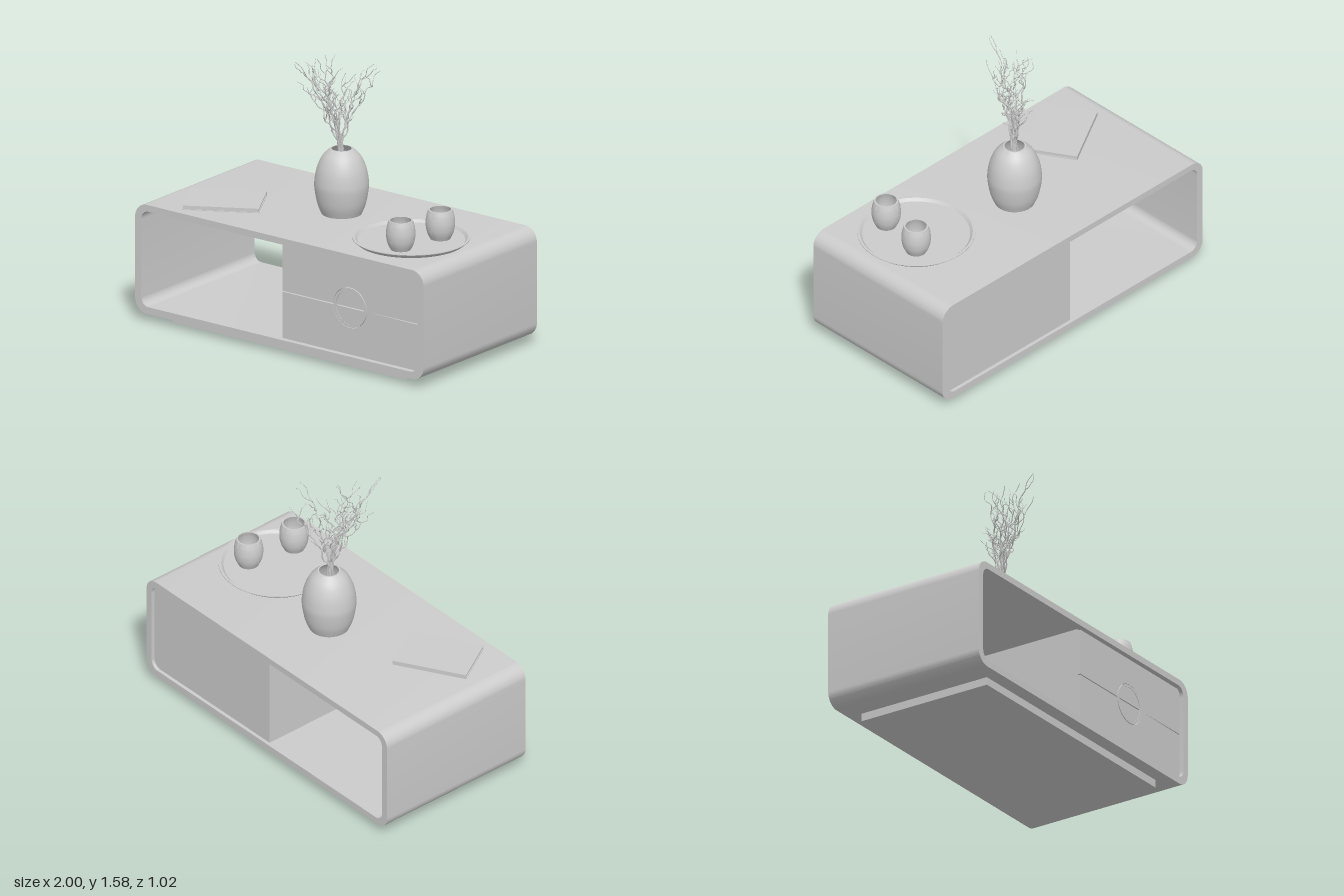
import * as THREE from 'three';
import { toCreasedNormals } from 'three/addons/utils/BufferGeometryUtils.js';

const mat = new THREE.MeshStandardMaterial({ color: 0xcccccc });
const thin = new THREE.MeshStandardMaterial({ color: 0xcccccc, side: THREE.DoubleSide });

function add(parent, name, geo, x = 0, y = 0, z = 0, material = mat) {
  const mesh = new THREE.Mesh(geo, material);
  mesh.name = name;
  mesh.position.set(x, y, z);
  parent.add(mesh);
  return mesh;
}

// Box given by its limits
function slab(parent, name, x0, x1, y0, y1, z0, z1) {
  return add(parent, name, new THREE.BoxGeometry(x1 - x0, y1 - y0, z1 - z0),
    (x0 + x1) / 2, (y0 + y1) / 2, (z0 + z1) / 2);
}

function roundedRect(target, x0, x1, y0, y1, r) {
  target.moveTo(x0 + r, y0);
  target.lineTo(x1 - r, y0);
  target.absarc(x1 - r, y0 + r, r, -Math.PI / 2, 0, false);
  target.lineTo(x1, y1 - r);
  target.absarc(x1 - r, y1 - r, r, 0, Math.PI / 2, false);
  target.lineTo(x0 + r, y1);
  target.absarc(x0 + r, y1 - r, r, Math.PI / 2, Math.PI, false);
  target.lineTo(x0, y0 + r);
  target.absarc(x0 + r, y0 + r, r, Math.PI, Math.PI * 1.5, false);
  return target;
}

function extrude(shape, depth) {
  const geo = new THREE.ExtrudeGeometry(shape, { depth, bevelEnabled: false, curveSegments: 16 });
  return toCreasedNormals(geo, 0.5);
}

function lathe(profile, segments = 48) {
  const pts = profile.map(([r, y]) => new THREE.Vector2(r, y));
  return toCreasedNormals(new THREE.LatheGeometry(pts, segments), 0.6);
}

// Smooth lathe profile: curved outside, rim, then the inside back down
function vessel(outer, wall) {
  const curve = new THREE.SplineCurve(outer.map(([r, y]) => new THREE.Vector2(r, y)));
  const out = curve.getPoints(24).map(p => [p.x, p.y]);
  const inner = out.slice(1).reverse().map(([r, y]) => [r - wall, Math.max(y, wall)]);
  return lathe([[0, 0], ...out, ...inner, [0, wall]]);
}

function buildTable() {
  const table = new THREE.Group();
  table.name = 'table';

  // Rounded hollow shell, open at front and back
  const outline = roundedRect(new THREE.Shape(), -0.992, 0.992, 0.045, 0.665, 0.08);
  outline.holes.push(roundedRect(new THREE.Path(), -0.95, 0.95, 0.085, 0.628, 0.05));
  add(table, 'shell', extrude(outline, 0.99), 0, 0, -0.495);

  slab(table, 'plinth', -0.8, 0.8, 0, 0.046, -0.41, 0.415);
  slab(table, 'cabinetBody', 0, 0.955, 0.083, 0.63, -0.475, 0.455);

  // Two drawer fronts, each cut by half of the round handle
  const cx = 0.47, cy = 0.355, gap = 0.003, r = 0.115;
  for (const s of [1, -1]) {
    const front = new THREE.Shape();
    front.moveTo(0.004, s * gap);
    front.lineTo(cx - r, s * gap);
    front.absarc(cx, 0, r, Math.PI, 0, s > 0);
    front.lineTo(0.945, s * gap);
    front.lineTo(0.945, s * 0.266);
    front.lineTo(0.004, s * 0.266);
    add(table, s > 0 ? 'upperDrawer' : 'lowerDrawer', extrude(front, 0.02), 0, cy, 0.453);

    const halfDisc = new THREE.Shape();
    halfDisc.absarc(cx, s * gap, 0.094, s > 0 ? 0 : Math.PI, s > 0 ? Math.PI : Math.PI * 2, false);
    add(table, 'handleInset', extrude(halfDisc, 0.02), 0, cy, 0.453);
  }
  const ring = new THREE.Shape().absarc(cx, cy, 0.112, 0, Math.PI * 2);
  ring.holes.push(new THREE.Path().absarc(cx, cy, 0.097, 0, Math.PI * 2));
  add(table, 'handleRing', extrude(ring, 0.022), 0, 0, 0.453);

  table.rotation.y = -0.0136;
  return table;
}

function buildBook() {
  const book = new THREE.Group();
  book.name = 'book';
  slab(book, 'backCover', -0.21, 0.21, 0, 0.004, -0.152, 0.152);
  slab(book, 'pages', -0.205, 0.205, 0.004, 0.021, -0.149, 0.147);
  slab(book, 'frontCover', -0.21, 0.21, 0.021, 0.025, -0.152, 0.152);
  slab(book, 'spine', -0.21, 0.21, 0.002, 0.023, -0.152, -0.148);
  book.position.set(-0.607, 0.665, 0.2);
  book.rotation.y = 0.512;
  return book;
}

function buildTraySet() {
  const set = new THREE.Group();
  set.name = 'traySet';
  add(set, 'tray', lathe([[0, 0], [0.295, 0], [0.32, 0.021], [0.32, 0.025],
    [0.306, 0.025], [0.292, 0.01], [0, 0.01]], 64), 0.597, 0.665, 0.11);
  const cup = vessel([[0.055, 0], [0.073, 0.04], [0.08, 0.085], [0.076, 0.13], [0.066, 0.165]], 0.009);
  add(set, 'backCup', cup, 0.71, 0.675, 0);
  add(set, 'frontCup', cup, 0.655, 0.675, 0.28);
  return set;
}

// Tube whose rings shrink towards the tip
function taperedTube(points, r0, r1) {
  const curve = new THREE.CatmullRomCurve3(points);
  const segs = points.length * 3, sides = 5;
  const geo = new THREE.TubeGeometry(curve, segs, r0, sides);
  const pos = geo.attributes.position, v = new THREE.Vector3();
  for (let i = 0; i <= segs; i++) {
    const c = curve.getPointAt(i / segs);
    const k = 1 + (r1 / r0 - 1) * i / segs;
    for (let j = 0; j <= sides; j++) {
      const n = i * (sides + 1) + j;
      v.fromBufferAttribute(pos, n).sub(c).multiplyScalar(k).add(c);
      pos.setXYZ(n, v.x, v.y, v.z);
    }
  }
  return geo;
}

function buildBranches() {
  const branches = new THREE.Group();
  branches.name = 'branches';
  let seed = 7;
  const rnd = () => (seed = (seed * 16807) % 2147483647) / 2147483647;
  const jitter = a => (rnd() - 0.5) * 2 * a;

  // Tips of the main stems
  const tips = [
    [-0.19, 1.5, 0.03], [-0.11, 1.57, 0.22], [-0.05, 1.57, 0.1], [-0.17, 1.42, 0.12],
    [-0.07, 1.46, 0.14], [0.03, 1.48, -0.02], [0.18, 1.54, -0.08], [0.06, 1.38, -0.13],
    [0.13, 1.45, -0.22], [-0.12, 1.53, -0.06], [0.0, 1.5, 0.17], [-0.15, 1.52, 0.07],
  ];
  tips.forEach(([tx, ty, tz], k) => {
    const a = k / tips.length * Math.PI * 2;
    const stem = [new THREE.Vector3(Math.cos(a) * 0.03, 0.8, -0.05 + Math.sin(a) * 0.03)];
    const n = 16;
    for (let i = 0; i <= n; i++) {
      const t = i / n, spread = Math.pow(t, 1.4), w = 0.003 + 0.012 * Math.min(1, t * 2);
      stem.push(new THREE.Vector3(
        Math.cos(a) * 0.014 * (1 - t) + tx * spread + jitter(w),
        1.03 + (ty - 1.03) * t + jitter(w * 0.6),
        -0.045 + Math.sin(a) * 0.014 * (1 - t) + (tz + 0.045) * spread + jitter(w)));
    }
    add(branches, 'stem', taperedTube(stem, 0.0065, 0.0015), 0, 0, 0, thin);

    // Crooked side twigs
    for (let j = 0; j < 5; j++) {
      const p = stem[6 + j * 2].clone();
      const heading = rnd() * Math.PI * 2, reach = 0.008 + rnd() * 0.006;
      const twig = [p.clone()];
      for (let i = 0; i < 6; i++) {
        p.x = THREE.MathUtils.clamp(p.x + Math.cos(heading) * reach + jitter(0.012), -0.2, 0.195);
        p.y = Math.min(1.58, p.y + 0.016 + jitter(0.01));
        p.z = THREE.MathUtils.clamp(p.z + Math.sin(heading) * reach + jitter(0.012), -0.245, 0.24);
        twig.push(p.clone());
      }
      add(branches, 'twig', taperedTube(twig, 0.0035, 0.001), 0, 0, 0, thin);
    }
  });
  return branches;
}

export function createModel() {
  const model = new THREE.Group();
  model.name = 'coffeeTable';
  model.add(buildTable(), buildBook(), buildTraySet(), buildBranches());
  add(model, 'vase', vessel([[0.11, 0], [0.133, 0.06], [0.147, 0.14], [0.147, 0.19],
    [0.134, 0.26], [0.104, 0.325], [0.062, 0.367]], 0.008), 0, 0.665, -0.05);
  return model;
}
